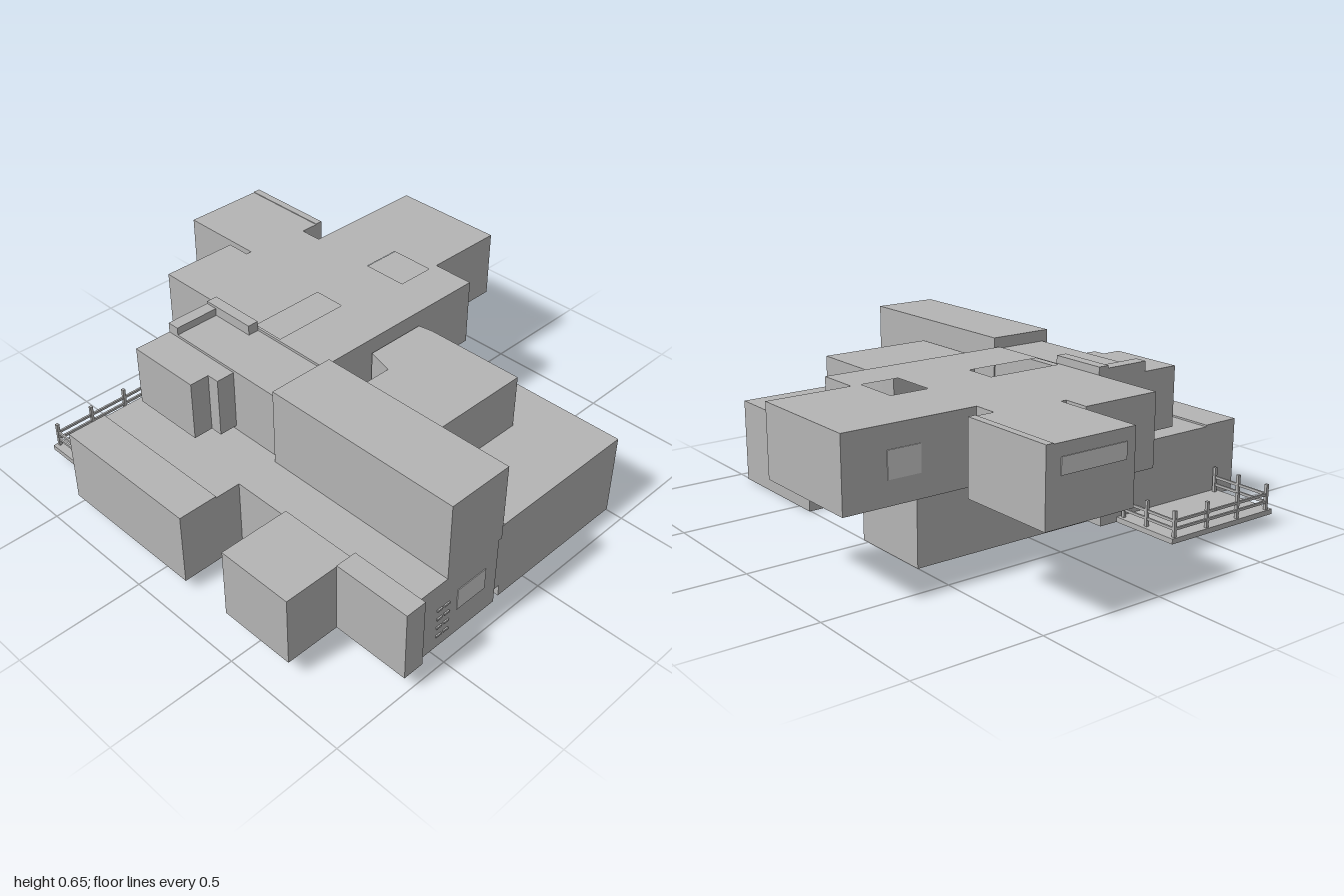
import * as THREE from 'three';

export function createModel() {
  const model = new THREE.Group();
  const wall = new THREE.MeshStandardMaterial({ color: 0xb4b4b4 });
  wall.name = 'plain grey';
  const pale = new THREE.MeshStandardMaterial({ color: 0xd0d0d0 });
  pale.name = 'pale grey';

  // Box given by its extents on each axis
  function box(name, x0, x1, y0, y1, z0, z1, mat = wall, parent = model) {
    const m = new THREE.Mesh(new THREE.BoxGeometry(x1 - x0, y1 - y0, z1 - z0), mat);
    m.position.set((x0 + x1) / 2, (y0 + y1) / 2, (z0 + z1) / 2);
    m.name = name;
    parent.add(m);
    return m;
  }

  // Floor plan of [x, z] corners raised from y0 to y1, with optional wells
  function storey(name, plan, y0, y1, wells = []) {
    const toPoints = (list) => list.map(([x, z]) => new THREE.Vector2(x, -z));
    const shape = new THREE.Shape(toPoints(plan));
    for (const w of wells) shape.holes.push(new THREE.Path(toPoints(w)));
    const geo = new THREE.ExtrudeGeometry(shape, { depth: y1 - y0, bevelEnabled: false });
    geo.rotateX(-Math.PI / 2);
    const m = new THREE.Mesh(geo, wall);
    m.position.y = y0;
    m.name = name;
    model.add(m);
  }
  const rect = (x0, x1, z0, z1) => [[x0, z0], [x1, z0], [x1, z1], [x0, z1]];

  // Ground storey with an open shaft
  storey('groundStorey', [
    [-0.42, -0.57], [-0.08, -0.57], [-0.08, -0.28], [0.6, -0.28], [0.6, 0.13], [0.93, 0.13],
    [0.93, 0.21], [0.965, 0.21], [0.965, 0.635], [0.145, 0.635], [0.145, 0.74], [-0.49, 0.74],
    [-0.49, 0.2], [-0.42, 0.2],
  ], 0.05, 0.338, [rect(0.145, 0.33, 0, 0.195)]);
  box('frontRoom', -0.49, 0.145, 0.05, 0.345, 0.74, 0.9);
  box('basementBlock', 0.42, 0.93, 0, 0.34, -0.505, 0.137);
  box('frontBay', 0.38, 0.69, 0.078, 0.36, 0.63, 0.915);
  box('cornerBay', 0.69, 1, 0.078, 0.365, 0.61, 0.695);
  box('bayFooting', 0.45, 0.69, 0.05, 0.078, 0.63, 0.65);

  // Upper storey: solid floor below, walls and roof above with two light wells
  const upperPlan = [
    [-0.52, -0.92], [-0.045, -0.92], [-0.045, -0.585], [0.13, -0.585], [0.13, 0.21],
    [-0.74, 0.21], [-0.74, -0.11], [-0.64, -0.11], [-0.64, -0.395], [-0.52, -0.395],
  ];
  storey('upperFloor', upperPlan, 0.34, 0.36);
  storey('upperStorey', upperPlan, 0.36, 0.615, [
    rect(-0.235, -0.048, -0.545, -0.39), rect(-0.235, -0.105, -0.115, 0.2),
  ]);
  box('sideWing', -1, -0.635, 0.34, 0.615, -0.475, -0.133);
  box('wingBackWall', -1, -0.612, 0.34, 0.618, -0.5, -0.47);
  box('wingLink', -0.64, -0.612, 0.34, 0.615, -0.48, -0.39);

  // Long block across the front right
  box('longBlock', 0.145, 0.965, 0.338, 0.65, 0.195, 0.465);

  // Low-roofed room beside the shaft
  storey('shaftRoom', [
    [0.14, -0.285], [0.2, -0.295], [0.61, -0.295], [0.61, 0.18], [0.25, 0.18], [0.25, 0], [0.14, -0.03],
  ], 0.338, 0.56);

  // Upper front rooms, stepped bay and roof parapet
  box('upperFrontRoom', -0.45, 0.145, 0.338, 0.605, 0.2, 0.44);
  box('upperBay', -0.45, -0.14, 0.355, 0.595, 0.44, 0.595);
  box('upperBayStep', -0.14, -0.09, 0.355, 0.595, 0.44, 0.515);
  box('parapetSide', -0.45, -0.4, 0.6, 0.635, 0.21, 0.44);
  box('parapetBack', -0.45, -0.215, 0.6, 0.645, 0.21, 0.255);

  // Windows as thin plates
  box('sideWindow', 0.964, 0.968, 0.16, 0.25, 0.27, 0.41, pale);
  box('backRoomWindow', -0.523, -0.519, 0.43, 0.53, -0.75, -0.62, pale);
  box('rearWindow', -0.04, 0.07, 0.15, 0.25, -0.283, -0.279, pale);
  box('wingWindow', -1.003, -0.999, 0.51, 0.57, -0.44, -0.17, pale);
  for (let i = 0; i < 4; i++) {
    const y = 0.1 + i * 0.04;
    box('wallSlat', 0.964, 0.97, y, y + 0.008, 0.45, 0.475);
    box('wallSlat', 0.964, 0.97, y, y + 0.008, 0.485, 0.51);
  }

  // Deck with three railed sides
  const deck = new THREE.Group();
  deck.name = 'deck';
  model.add(deck);
  box('deckFloor', -0.78, -0.49, 0.05, 0.07, 0.28, 0.808, wall, deck);
  const post = (x, z) => box('railPost', x - 0.006, x + 0.006, 0.07, 0.17, z - 0.006, z + 0.006, wall, deck);
  for (const z of [0.3, 0.785]) {
    for (const x of [-0.768, -0.628, -0.508]) post(x, z);
    for (const y of [0.095, 0.125]) box('rail', -0.768, -0.5, y, y + 0.01, z - 0.004, z + 0.004, wall, deck);
  }
  for (const z of [0.465, 0.625]) post(-0.768, z);
  for (const y of [0.095, 0.125]) box('sideRail', -0.772, -0.764, y, y + 0.01, 0.3, 0.785, wall, deck);

  return model;
}
